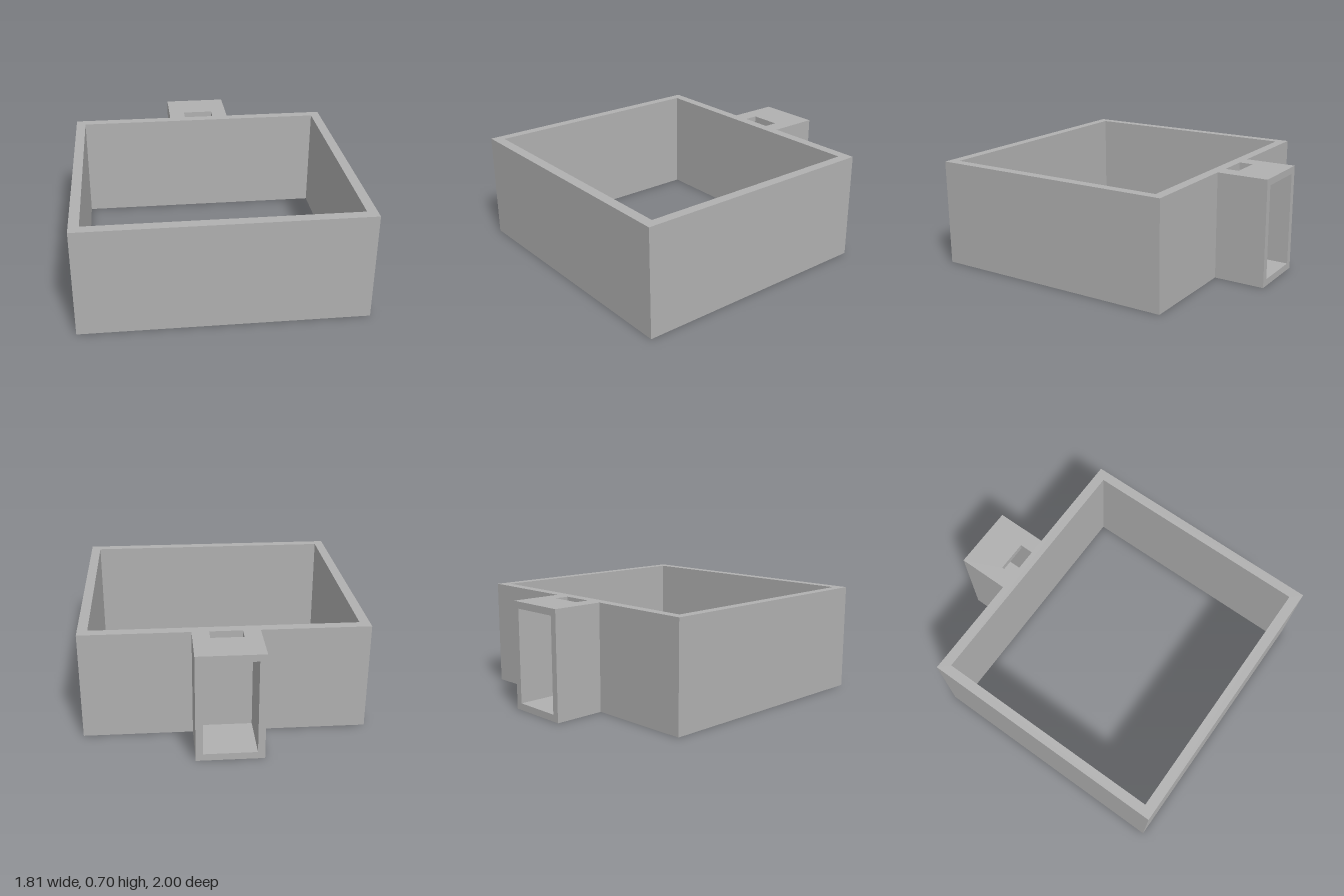
import * as THREE from 'three';

const H = 0.705;        // overall height
const WALL = 0.045;     // housing wall thickness
const BACK = -0.66;     // outer back face of the frame
const L = -0.215, R = 0.21; // housing sides

const polygon = (pts) => pts.map(([x, y]) => new THREE.Vector2(x, y));
const rect = (x0, y0, x1, y1) => polygon([[x0, y0], [x1, y0], [x1, y1], [x0, y1]]);

// Extrudes a plan drawn as (x, -z) upwards from y0
function extrudeUp(shape, y0, height) {
  return new THREE.ExtrudeGeometry(shape, { depth: height, bevelEnabled: false })
    .rotateX(-Math.PI / 2)
    .translate(0, y0, 0);
}

export function createModel() {
  const group = new THREE.Group();
  const grey = new THREE.MeshStandardMaterial({ color: 0xb0b0b0 });
  grey.name = 'grey';

  const add = (name, geometry) => {
    const mesh = new THREE.Mesh(geometry, grey);
    mesh.name = name;
    group.add(mesh);
  };

  // Open square frame
  const frame = new THREE.Shape(rect(-0.907, -1, 0.907, -BACK));
  frame.holes.push(new THREE.Path(rect(-0.843, -0.932, 0.843, 0.593)));
  add('frame', extrudeUp(frame, 0, H));

  // Housing floor and sides, open to the back
  const top = H - WALL;
  const channel = new THREE.Shape(polygon([
    [L, 0], [R, 0], [R, top], [R - WALL, top],
    [R - WALL, WALL], [L + WALL, WALL], [L + WALL, top], [L, top],
  ]));
  add('housingChannel',
    new THREE.ExtrudeGeometry(channel, { depth: 1 + BACK, bevelEnabled: false }).translate(0, 0, -1));

  // Housing lid with a slot against the frame
  const lid = new THREE.Shape(polygon([
    [L, -BACK], [-0.105, -BACK], [-0.105, 0.753], [0.102, 0.753],
    [0.102, -BACK], [R, -BACK], [R, 1], [L, 1],
  ]));
  add('housingLid', extrudeUp(lid, top, WALL));

  return group;
}
